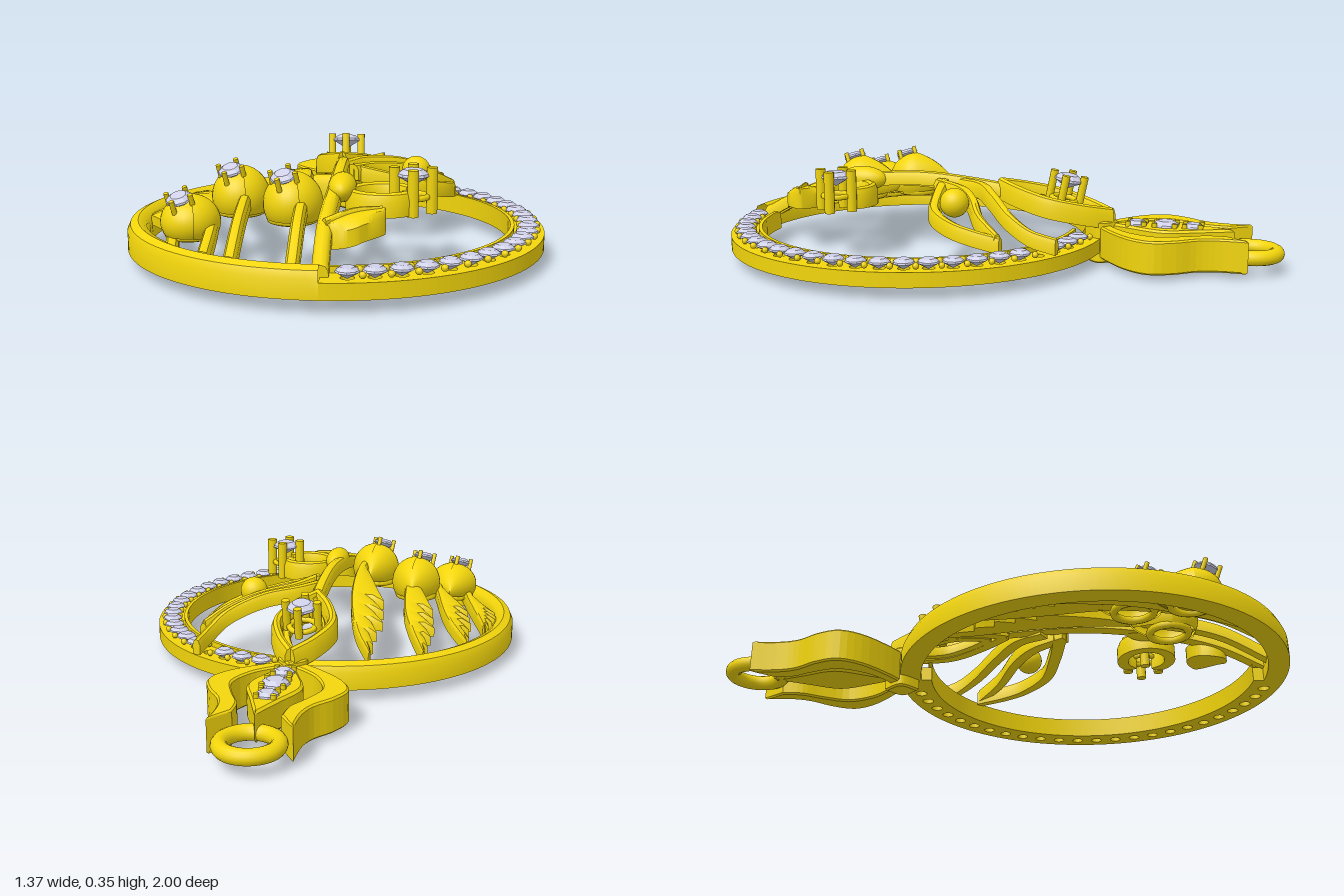
import * as THREE from 'three';
import { toCreasedNormals } from 'three/addons/utils/BufferGeometryUtils.js';

const gold = new THREE.MeshStandardMaterial({ color: 0xf2d50c, side: THREE.DoubleSide });
const stone = new THREE.MeshStandardMaterial({ color: 0xd0d0e8, flatShading: true });
const RING_Z = 0.31, RING_R = 0.685;

function add(parent, name, geo, mat = gold, pos = [0, 0, 0]) {
  const m = new THREE.Mesh(geo, mat);
  m.name = name;
  m.position.set(...pos);
  parent.add(m);
  return m;
}

// Dome-topped bar along a curve; left/right half-widths vary with t, lean drags the left edge forward
const SECTION = [[-1, -1], [1, -1], [1, 0.3], [0.6, 0.85], [0, 1], [-0.6, 0.85], [-1, 0.3]];
function sweep(pts, right, height, left = right, lean = 0, n = 40) {
  const curve = new THREE.CatmullRomCurve3(pts.map(p => new THREE.Vector3(...p)));
  const up = new THREE.Vector3(0, 1, 0), pos = [], idx = [], k = SECTION.length;
  for (let i = 0; i <= n; i++) {
    const t = i / n, c = curve.getPointAt(t), tan = curve.getTangentAt(t);
    const side = tan.clone().cross(up).normalize();
    const r = typeof right === 'function' ? right(t) : right;
    const l = typeof left === 'function' ? left(t) : left;
    for (const [s, v] of SECTION) {
      const p = c.clone().addScaledVector(side, s * (s < 0 ? l : r));
      if (s < 0) p.addScaledVector(tan, -s * l * lean);
      pos.push(p.x, p.y + v * height / 2, p.z);
    }
  }
  for (let i = 0; i < n; i++) for (let j = 0; j < k; j++) {
    const a = i * k + j, b = i * k + (j + 1) % k;
    idx.push(a, b + k, b, a, a + k, b + k);
  }
  for (let j = 1; j < k - 1; j++) idx.push(0, j, j + 1, n * k, n * k + j + 1, n * k + j);
  const g = new THREE.BufferGeometry();
  g.setAttribute('position', new THREE.Float32BufferAttribute(pos, 3));
  g.setIndex(idx);
  return toCreasedNormals(g, 0.7);
}

// Flat plate seen from above, standing from y0 up by h
function plate(shape, y0, h, bevel = 0) {
  const g = new THREE.ExtrudeGeometry(shape, {
    depth: h - 2 * bevel, bevelEnabled: bevel > 0, bevelThickness: bevel,
    bevelSize: bevel, bevelOffset: -bevel, bevelSegments: 1, curveSegments: 48,
  });
  return g.rotateX(-Math.PI / 2).translate(0, y0 + bevel, 0);
}
const spline = pts => new THREE.SplineCurve(pts.map(([x, z]) => new THREE.Vector2(x, -z))).getPoints(24);

// Faceted brilliant of unit radius
const gemGeo = new THREE.LatheGeometry([[0, -0.6], [1, 0], [0.95, 0.15], [0.6, 0.4], [0, 0.4]]
  .map(p => new THREE.Vector2(...p)), 9);
function gem(parent, name, r, pos) {
  const m = add(parent, name, gemGeo, stone, pos);
  m.scale.setScalar(r);
  return m;
}
function prongs(parent, r, pr, h, y, turn = Math.PI / 4) {
  for (let i = 0; i < 4; i++) {
    const a = turn + i * Math.PI / 2;
    add(parent, 'prong', new THREE.CylinderGeometry(pr, pr, h, 10), gold, [r * Math.cos(a), y, r * Math.sin(a)]);
  }
}
function group(parent, name, pos = [0, 0, 0]) {
  const g = new THREE.Group();
  g.name = name;
  g.position.set(...pos);
  parent.add(g);
  return g;
}

function buildRing(root) {
  const ring = group(root, 'ring');
  // Plain rounded left half
  const prof = [[0.685, 0.04], [0.685, 0.1], [0.675, 0.122], [0.65, 0.133], [0.625, 0.122],
    [0.612, 0.1], [0.612, 0.04], [0.685, 0.04]].map(p => new THREE.Vector2(...p));
  add(ring, 'plainBand', toCreasedNormals(new THREE.LatheGeometry(prof, 64, Math.PI, Math.PI), 0.7), gold, [0, 0, RING_Z]);
  // Stone-set right half, pierced under every stone
  const band = new THREE.Shape(), H = Math.PI / 2, seats = [];
  band.absarc(0, -RING_Z, RING_R, -H, H, false);
  band.absarc(0, -RING_Z, 0.575, H, -H, true);
  for (let i = 0; i < 24; i++) seats.push(-1.45 + i * 0.1226);
  for (const a of seats) {
    const hole = new THREE.Path();
    hole.absarc(0.633 * Math.cos(a), -RING_Z + 0.633 * Math.sin(a), 0.02, 0, Math.PI * 2, true);
    band.holes.push(hole);
  }
  add(ring, 'stoneBand', plate(band, 0.04, 0.05));
  const rim = [[0.588, 0.08], [0.588, 0.11], [0.575, 0.11], [0.575, 0.08]].map(p => new THREE.Vector2(...p));
  add(ring, 'innerRim', toCreasedNormals(new THREE.LatheGeometry(rim, 64, 0, Math.PI), 0.5), gold, [0, 0, RING_Z]);
  const bead = new THREE.SphereGeometry(0.011, 8, 6);
  seats.forEach(a => {
    const at = (r, b, y) => [r * Math.cos(b), y, RING_Z - r * Math.sin(b)];
    if (Math.abs(a - 0.97) > 0.06) gem(ring, 'ringStone', 0.036, at(0.633, a, 0.108));
    for (const r of [0.605, 0.662]) add(ring, 'bead', bead, gold, at(r, a + 0.061, 0.105));
  });
}

function buildFerns(root) {
  const ferns = group(root, 'ferns');
  const paths = [
    [[-0.08, 0.1, 0.93], [-0.08, 0.2, 0.74], [-0.085, 0.245, 0.42], [-0.115, 0.215, 0.1], [-0.17, 0.16, -0.12], [-0.235, 0.12, -0.25]],
    [[-0.265, 0.1, 0.87], [-0.265, 0.18, 0.7], [-0.28, 0.21, 0.4], [-0.31, 0.17, 0.12], [-0.345, 0.14, 0], [-0.405, 0.1, -0.15]],
    [[-0.35, 0.1, 0.82], [-0.36, 0.15, 0.62], [-0.4, 0.165, 0.4], [-0.46, 0.14, 0.15], [-0.54, 0.1, 0]],
    [[-0.46, 0.09, 0.74], [-0.49, 0.12, 0.58], [-0.525, 0.12, 0.42], [-0.585, 0.1, 0.2]],
  ];
  const span = [0.1, 0.085, 0.075, 0.06];
  paths.forEach((p, i) => {
    // Saw-toothed frond along the outer edge, narrowing to the tip
    const frond = t => {
      if (t < 0.42) return 0.02;
      const u = (t - 0.42) / 0.58, tooth = u < 0.42 ? 1 : 1 - 0.5 * (1 - ((u - 0.42) * 8.6) % 1);
      return 0.02 + span[i] * Math.min(1, u / 0.42) * tooth * Math.min(1, (1 - u) * 2.6) - 0.018 * u;
    };
    add(ferns, 'fern', sweep(p, t => 0.02 * (1 - 0.8 * t * t), 0.05, frond, 0.5, 120));
  });
}

function buildBud(root, x, y, z, h) {
  const bud = group(root, 'bud', [x, y, z]);
  // Dome drawn out to a point towards -z
  const teardrop = (g, s) => {
    const p = g.attributes.position;
    for (let i = 0; i < p.count; i++) {
      const zz = p.getZ(i), f = zz < 0 ? Math.sqrt(Math.max(0, 1 + zz)) : 1;
      p.setXYZ(i, p.getX(i) * 0.092 * f * s, p.getY(i) * h * (0.4 + 0.6 * f) * s, zz * (zz < 0 ? 0.14 : 0.105) * s);
    }
    g.computeVertexNormals();
    return g;
  };
  add(bud, 'petals', teardrop(new THREE.SphereGeometry(1, 32, 20, 0, Math.PI * 2, 0, Math.PI * 0.66), 1));
  add(bud, 'overlappingPetal', teardrop(new THREE.SphereGeometry(1, 18, 20, 1.9, 2.6, 0, Math.PI * 0.66), 1.05));
  const foot = add(bud, 'foot', new THREE.TorusGeometry(0.068, 0.014, 8, 28), gold, [0, -h * 0.5, 0]);
  foot.rotation.x = Math.PI / 2;
  // Stone tilted forward on the dome
  const set = group(bud, 'budSetting', [-0.02, h * 0.86, 0.05]);
  set.rotation.set(0.35, 0, 0.15);
  gem(set, 'budStone', 0.042, [0, 0.008, 0]);
  prongs(set, 0.042, 0.008, 0.045, 0.005, 0.3);
}

function buildStem(root) {
  const stem = group(root, 'stem');
  add(stem, 'mainStem', sweep([[0, 0.1, 0.94], [0, 0.19, 0.76], [0.012, 0.25, 0.52], [0.015, 0.27, 0.3], [0.01, 0.255, 0.1], [0, 0.235, -0.04]], 0.024, 0.05));
  const knot = add(stem, 'stemKnot', new THREE.SphereGeometry(1, 24, 16), gold, [0.035, 0.26, 0.52]);
  knot.scale.set(0.045, 0.045, 0.09);
  // Leaf strands reaching the ring, with a berry between them
  const strands = [
    [[0.02, 0.25, 0.14], [0.08, 0.25, 0.05], [0.2, 0.235, -0.03], [0.31, 0.19, -0.12], [0.35, 0.15, -0.2], [0.365, 0.13, -0.29]],
    [[0.05, 0.25, 0.22], [0.12, 0.24, 0.11], [0.22, 0.225, 0.04], [0.33, 0.185, -0.02], [0.4, 0.14, -0.1]],
    [[0.05, 0.25, 0.2], [0.17, 0.22, 0.185], [0.28, 0.19, 0.155], [0.36, 0.165, 0.07], [0.385, 0.15, 0], [0.4, 0.13, -0.11]],
  ];
  strands.forEach(p => add(stem, 'leafStrand', sweep(p, t => 0.024 - 0.01 * t, 0.055)));
  add(stem, 'berry', new THREE.SphereGeometry(0.05, 24, 16), gold, [0.265, 0.235, 0.09]);
  // Curl carrying a four-prong stone
  const curl = [];
  for (let i = 0; i <= 10; i++) {
    const a = 0.5 + i * (Math.PI * 2 - 1) / 10;
    curl.push([0.16 + 0.095 * Math.cos(a), 0.225, 0.53 + 0.088 * Math.sin(a)]);
  }
  add(stem, 'curl', sweep(curl, 0.02, 0.075));
  const set = group(stem, 'prongSetting', [0.255, 0.255, 0.53]);
  gem(set, 'curlStone', 0.052, [0, 0.045, 0]);
  prongs(set, 0.058, 0.018, 0.145, 0, 0);
  const cup = add(set, 'settingCollar', new THREE.TorusGeometry(0.045, 0.01, 8, 24), gold, [0, -0.02, 0]);
  cup.rotation.x = Math.PI / 2;
  // Small side leaf with a raised midrib
  const lens = t => 0.004 + 0.066 * Math.pow(Math.sin(Math.PI * Math.pow(t, 0.8)), 0.8);
  add(stem, 'smallLeaf', sweep([[0, 0.17, 0.78], [0.08, 0.19, 0.735], [0.175, 0.2, 0.715]], lens, 0.08));
  add(stem, 'leafMidrib', sweep([[0, 0.21, 0.78], [0.08, 0.232, 0.735], [0.165, 0.235, 0.715]], t => 0.012 * (1 - 0.7 * t), 0.02));
}

function buildMarquise(root) {
  const mq = group(root, 'marquise');
  const yAt = z => 0.245 + 0.22 * z;
  for (const s of [-1, 1]) {
    const rim = (w, z0, z1, d) => [[0, z0], [0.62, z0 + (z1 - z0) * 0.22], [1, (z0 + z1) / 2], [0.62, z1 - (z1 - z0) * 0.22], [0, z1]]
      .map(([f, z]) => [s * f * w, yAt(z) + d, z]);
    add(mq, 'outerRim', sweep(rim(0.095, -0.405, 0, 0), 0.019, 0.075));
    add(mq, 'innerRim', sweep(rim(0.06, -0.36, -0.06, -0.015), 0.014, 0.04));
  }
  const set = group(mq, 'marquiseSetting', [0, 0.245, -0.24]);
  set.rotation.x = -0.2;
  gem(set, 'marquiseStone', 0.052, [0, 0.04, 0]);
  prongs(set, 0.055, 0.014, 0.11, 0.01, 0);
  const collar = add(set, 'settingCollar', new THREE.TorusGeometry(0.045, 0.01, 8, 24), gold, [0, -0.03, 0]);
  collar.rotation.x = Math.PI / 2;
}

function buildBail(root) {
  const bail = group(root, 'bail');
  const outer = [[0, -0.345], [0.1, -0.41], [0.19, -0.49], [0.228, -0.57], [0.2, -0.65], [0.15, -0.72], [0.13, -0.79], [0.13, -0.885]];
  const inner = [[0.075, -0.81], [0.08, -0.74], [0.115, -0.67], [0.145, -0.58], [0.11, -0.49], [0.05, -0.43], [0, -0.4]];
  for (const s of [-1, 1]) {
    const flip = pts => spline(pts.map(([x, z]) => [s * x, z]));
    add(bail, 'sidePetal', plate(new THREE.Shape([...flip(outer), ...flip(inner)]), 0.018, 0.115, 0.006));
  }
  // Central pointed leaf with three stones
  const leaf = new THREE.Shape(spline([[0, -0.83], [0.045, -0.72], [0.088, -0.6], [0.045, -0.48], [0, -0.39]])
    .concat(spline([[0, -0.39], [-0.045, -0.48], [-0.088, -0.6], [-0.045, -0.72], [0, -0.83]]).slice(1, -1)));
  add(bail, 'centreLeaf', plate(leaf, 0.04, 0.1, 0.008));
  [[-0.69, 0.037], [-0.595, 0.047], [-0.495, 0.037]].forEach(([z, r]) => {
    const set = group(bail, 'bailSetting', [0, 0.14, z]);
    gem(set, 'bailStone', r, [0, 0, 0]);
    prongs(set, r * 1.05, 0.009, 0.03, 0);
  });
  const loop = add(bail, 'loop', new THREE.TorusGeometry(0.087, 0.026, 14, 48), gold, [0, 0.065, -0.887]);
  loop.rotation.x = Math.PI / 2;
  // Joint between bail, ring and marquise
  const joint = new THREE.Shape(spline([[0, -0.43], [0.05, -0.37], [0, -0.31]]).concat(spline([[0, -0.31], [-0.05, -0.37], [0, -0.43]]).slice(1, -1)));
  add(bail, 'joint', plate(joint, 0, 0.15, 0.006));
}

export function createModel() {
  const root = new THREE.Group();
  root.name = 'pendant';
  buildRing(root);
  buildFerns(root);
  buildBud(root, -0.3, 0.21, 0.43, 0.095);
  buildBud(root, -0.43, 0.165, 0.6, 0.08);
  buildBud(root, -0.115, 0.22, 0.575, 0.095);
  buildStem(root);
  buildMarquise(root);
  buildBail(root);
  return root;
}
